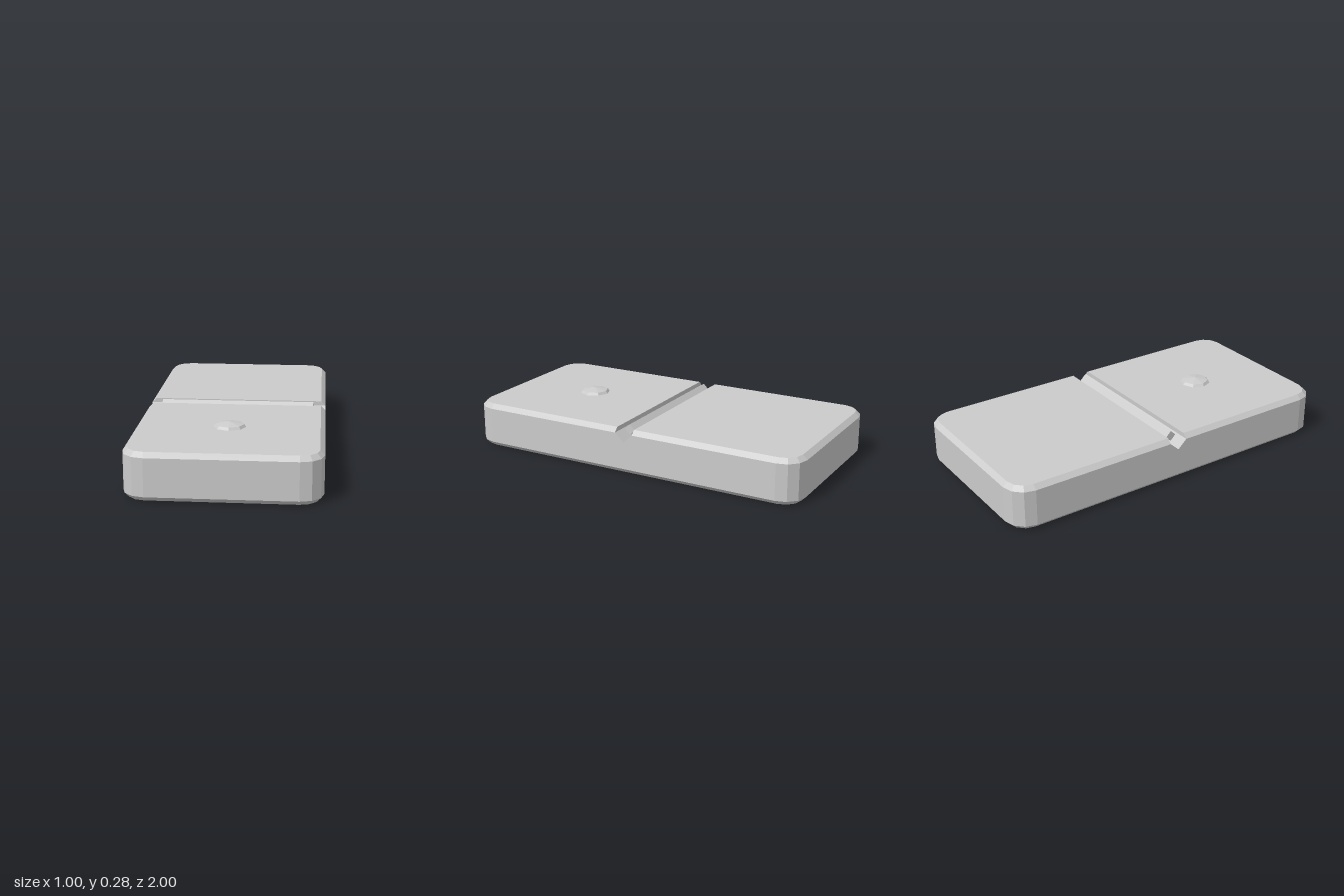
import * as THREE from 'three';
import { mergeGeometries } from 'three/addons/utils/BufferGeometryUtils.js';

const W = 0.5, L = 1, R = 0.12, SEG = 3; // half width, half length, corner radius

// Outline of one half of the tile, from its left side round the end to its right side
function ring(y, inset, gap) {
  const pts = [[W - inset, y, gap]];
  for (const side of [0, 1]) {
    for (let i = 0; i <= SEG; i++) {
      const a = (side + i / SEG) * Math.PI / 2;
      const cx = (side ? -1 : 1) * (W - R);
      pts.push([cx + (R - inset) * Math.cos(a), y, L - R + (R - inset) * Math.sin(a)]);
    }
  }
  pts.push([inset - W, y, gap]);
  return pts;
}

// One half: chamfered outline rings stacked upwards, with half of the groove as its inner wall
function halfTile() {
  const rings = [
    ring(0, 0.025, 0),
    ring(0.025, 0, 0),
    ring(0.177, 0, 0),
    ring(0.225, 0, 0.052),
    ring(0.25, 0.025, 0.052),
  ];
  const pos = [];
  const tri = (a, b, c) => pos.push(...a, ...b, ...c);
  const n = rings[0].length;
  for (let k = 0; k < rings.length - 1; k++) {
    const lo = rings[k], hi = rings[k + 1];
    // below the groove the inner wall is left open, where the halves join
    const count = k < 2 ? n - 1 : n;
    for (let i = 0; i < count; i++) {
      const j = (i + 1) % n;
      tri(lo[i], hi[i], hi[j]);
      tri(lo[i], hi[j], lo[j]);
    }
  }
  const bottom = rings[0], top = rings[rings.length - 1];
  for (let i = 1; i < n - 1; i++) {
    tri(bottom[0], bottom[i], bottom[i + 1]);
    tri(top[0], top[i + 1], top[i]);
  }
  const g = new THREE.BufferGeometry();
  g.setAttribute('position', new THREE.Float32BufferAttribute(pos, 3));
  g.computeVertexNormals();
  return g;
}

export function createModel() {
  const group = new THREE.Group();
  const material = new THREE.MeshStandardMaterial({ color: 0xcccccc, flatShading: true });
  const add = (name, geometry, y, z) => {
    const mesh = new THREE.Mesh(geometry, material);
    mesh.name = name;
    mesh.position.set(0, y, z);
    group.add(mesh);
    return mesh;
  };

  // Tile body: two identical halves meeting at the groove
  add('tileBody', mergeGeometries([halfTile(), halfTile().rotateY(Math.PI)]), 0, 0);

  // Square bar lying on its edge in the groove
  const side = 0.03 * Math.SQRT2;
  add('dividerBar', new THREE.BoxGeometry(0.86, side, side), 0.228, 0).rotation.x = Math.PI / 4;

  // Low eight-sided stud on the front half
  const profile = [[0.088, -0.002], [0.075, 0.014], [0, 0.027]].map(([r, y]) => new THREE.Vector2(r, y));
  add('pip', new THREE.LatheGeometry(profile, 8), 0.25, 0.5);

  return group;
}
